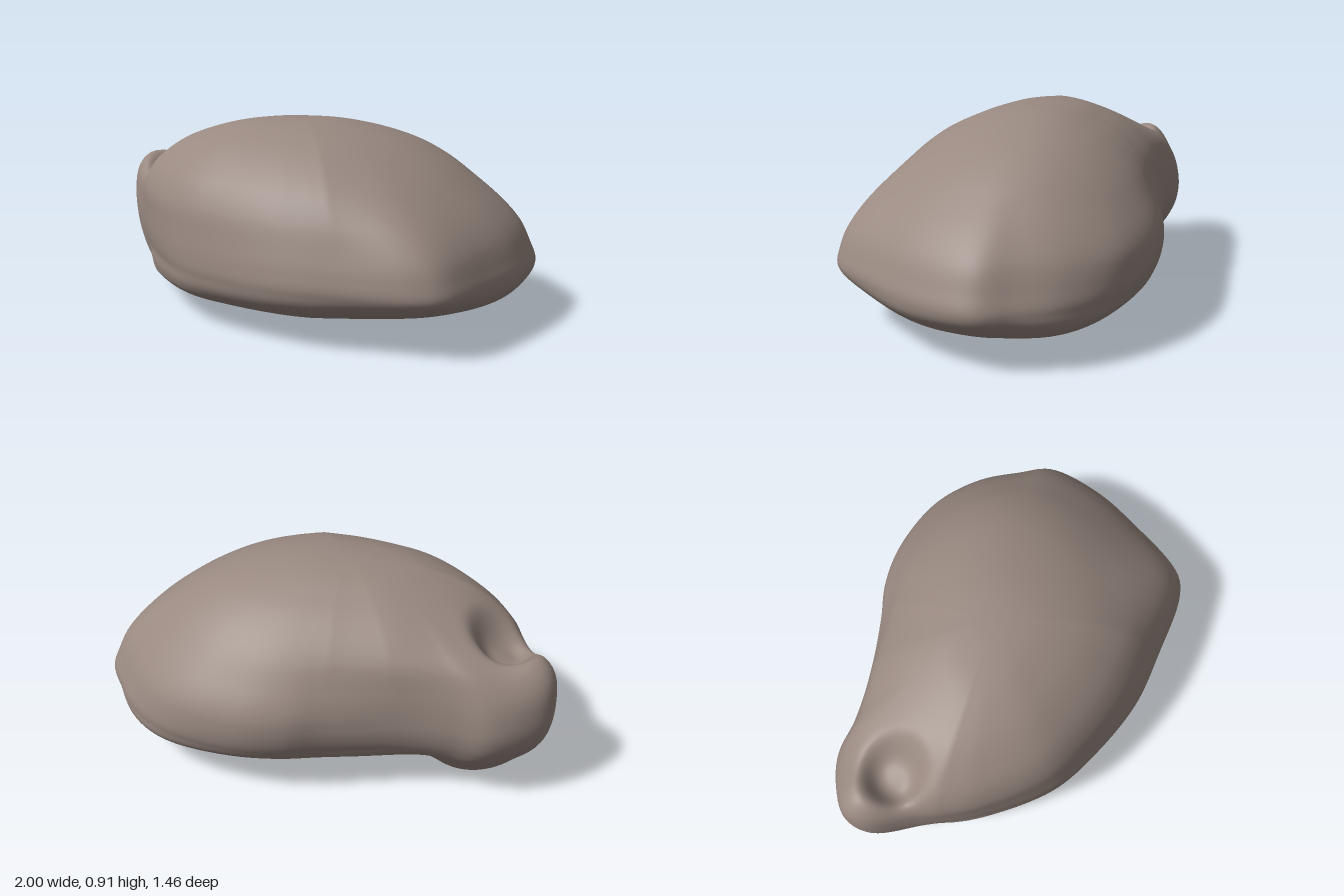
import * as THREE from 'three';

const { lerp, smoothstep } = THREE.MathUtils;
const stone = new THREE.MeshStandardMaterial({ color: 0x998981 });
stone.name = 'warm grey stone';

// widest plan outline, as [x, z], with the knob at the back corner
const OUTLINE = [
  [1, 0], [0.91, 0.25], [0.75, 0.47], [0.53, 0.7], [0.41, 0.725], [0.1, 0.66], [-0.18, 0.58], [-0.45, 0.43],
  [-0.65, 0.27], [-0.83, -0.03], [-0.93, -0.32], [-1, -0.53], [-0.96, -0.64], [-0.85, -0.705], [-0.7, -0.735],
  [-0.55, -0.695], [-0.35, -0.67], [0, -0.68], [0.2, -0.7], [0.42, -0.67], [0.7, -0.54], [0.87, -0.35], [0.95, -0.16],
];

// extents of each level: y, min x, max x, min z, max z
const LEVELS = [
  [0.898, -0.1, -0.1, -0.1, -0.1],
  [0.893, -0.24, 0.05, -0.2, -0.01],
  [0.875, -0.41, 0.18, -0.3, 0.1],
  [0.84, -0.55, 0.33, -0.39, 0.21],
  [0.79, -0.68, 0.47, -0.49, 0.32],
  [0.72, -0.8, 0.6, -0.59, 0.43],
  [0.64, -0.9, 0.71, -0.67, 0.53],
  [0.54, -0.97, 0.83, -0.71, 0.62],
  [0.44, -0.99, 0.92, -0.73, 0.68],
  [0.34, -0.99, 0.97, -0.735, 0.72],
  [0.25, -0.97, 1.0, -0.71, 0.73],
  [0.18, -0.93, 0.96, -0.65, 0.66],
  [0.11, -0.83, 0.84, -0.5, 0.5],
  [0.065, -0.55, 0.58, -0.28, 0.34],
  [0.05, -0.3, 0.25, -0.16, 0.1],
  [0.05, -0.1, -0.1, -0.1, -0.1],
];
const C = -0.1; // pivot for scaling in x and z

// knob details: raised outer lip, pressed hollow and drooping foot
function shapeKnob(p) {
  const lip = Math.exp(-(((p.x + 0.92) ** 2 + (p.y - 0.6) ** 2 + (p.z + 0.55) ** 2) / 0.0225));
  p.x -= 0.03 * lip;
  p.y += 0.05 * lip;
  p.z -= 0.03 * lip;
  const hollow = Math.hypot(p.x + 0.77, p.z + 0.43) / 0.125;
  p.y -= 0.12 * Math.exp(-(hollow ** 4)) * smoothstep(p.y, 0.38, 0.55);
  const foot = Math.hypot(p.x + 0.69, p.z + 0.42) / 0.22;
  p.y -= 0.1 * Math.exp(-(foot ** 4)) * (1 - smoothstep(p.y, 0.1, 0.45));
  return p;
}

function stoneGeometry(rows = 140, cols = 240) {
  const plan = new THREE.CatmullRomCurve3(
    OUTLINE.map(([x, z]) => new THREE.Vector3(x, 0, z)), true, 'centripetal').getSpacedPoints(cols);
  const spline = (f) => new THREE.CatmullRomCurve3(LEVELS.map(f), false, 'catmullrom');
  const xs = spline((l) => new THREE.Vector3(l[1], l[0], l[2]));
  const zs = spline((l) => new THREE.Vector3(l[3], l[0], l[4]));
  const pos = [], index = [];
  for (let i = 0; i <= rows; i++) {
    const a = xs.getPoint(i / rows), b = zs.getPoint(i / rows);
    const upper = smoothstep(a.y, 0.38, 0.86);
    const lower = 0.8 * (1 - smoothstep(a.y, 0.08, 0.26));
    const back = 0.12 * smoothstep(a.y, 0.4, 0.68);
    for (let j = 0; j < cols; j++) {
      let nx = (plan[j].x - C) / (plan[j].x < C ? 0.9 : 1.1);
      let nz = (plan[j].z - C) / (plan[j].z < C ? 0.635 : 0.83);
      const knob = smoothstep(Math.min(-nx, -nz), 0, 0.6);
      // sections soften to an ellipse at the top and a fuller oval below, less so at the knob
      const oval = Math.max(0.92, Math.hypot(nx, nz));
      const full = Math.max(0.88, Math.cbrt(Math.abs(nx) ** 3 + Math.abs(nz) ** 3));
      const k = lerp(1, 1 / oval, upper * (1 - 0.7 * knob * (1 - upper))) * lerp(1, 1 / full, lower * (1 - knob));
      nx *= k;
      // the back wall leans in on the plain side
      nz *= nz < 0 ? k * (1 - back * smoothstep(nx, -0.5, 0.3)) : k;
      const p = shapeKnob(new THREE.Vector3(
        C + nx * (nx < 0 ? C - a.x : a.z - C), a.y, C + nz * (nz < 0 ? C - b.x : b.z - C)));
      pos.push(p.x, p.y, p.z);
      if (i < rows) {
        const n = (j + 1) % cols, r = i * cols, s = r + cols;
        index.push(r + j, r + n, s + j, r + n, s + n, s + j);
      }
    }
  }
  const g = new THREE.BufferGeometry();
  g.setAttribute('position', new THREE.Float32BufferAttribute(pos, 3));
  g.setIndex(index);
  g.computeVertexNormals();
  return g;
}

export function createModel() {
  const model = new THREE.Group();
  model.name = 'pebble';
  const body = new THREE.Mesh(stoneGeometry(), stone);
  body.name = 'stone body with knob';
  model.add(body);
  return model;
}
